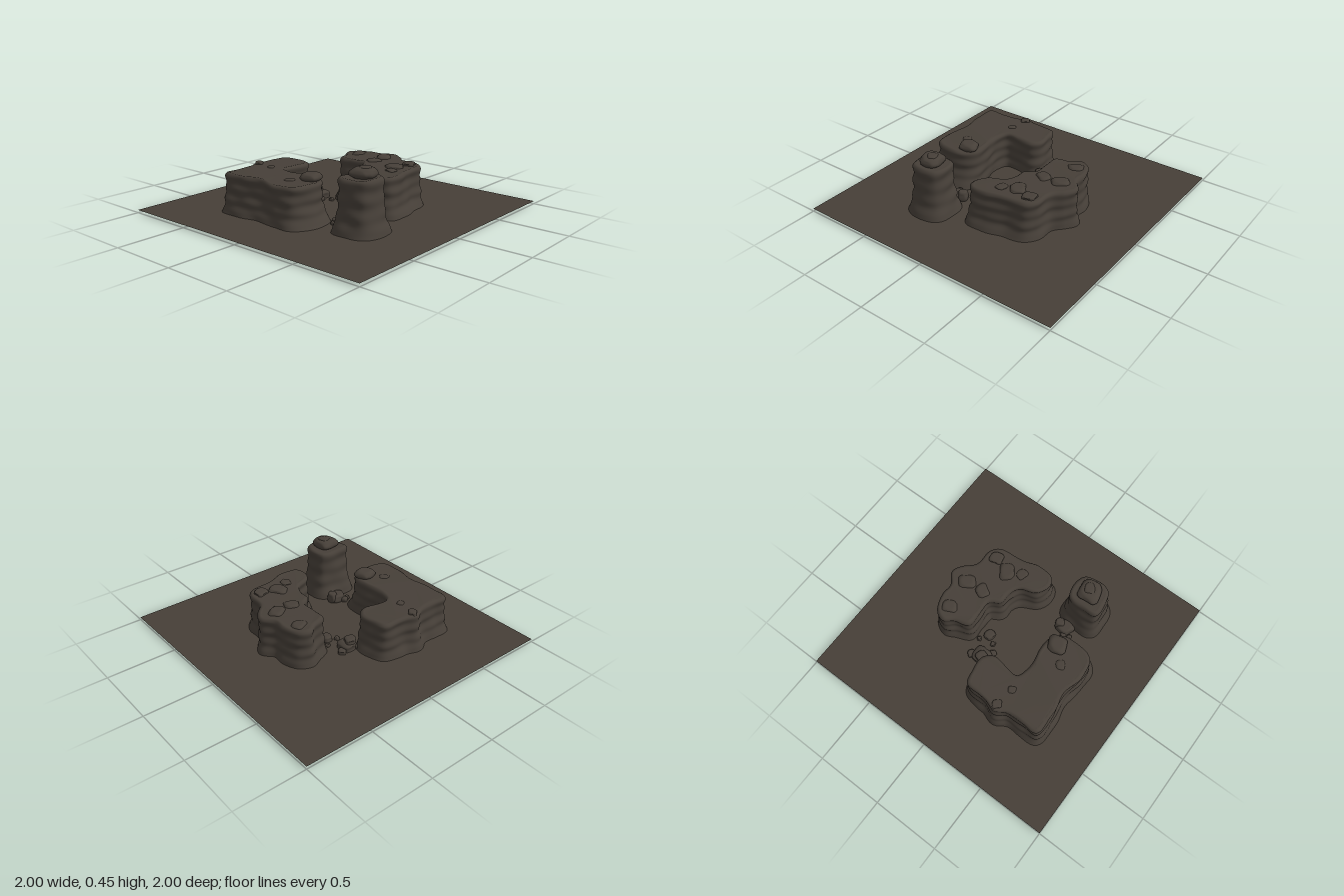
import * as THREE from 'three';
import { mergeVertices } from 'three/addons/utils/BufferGeometryUtils.js';

const GROUND = 0.02;

// Gentle lumps that depend only on position
const lump = (x, y, z) =>
  Math.sin(23 * x + 9 * z + 14 * y) * Math.sin(19 * z - 11 * x + 31 * y);

// Rock mass: a closed outline of [x, z, foot flare], lofted up a weathered cliff profile
function cliff(name, outline, height, material, lean = 0) {
  const curve = new THREE.CatmullRomCurve3(
    outline.map(([x, z, flare]) => new THREE.Vector3(x, flare, z)), true);
  const n = 180;
  const pts = curve.getSpacedPoints(n).slice(0, n);
  const normals = pts.map((_, i) => {
    const t = pts[(i + 1) % n].clone().sub(pts[(i + n - 1) % n]);
    return new THREE.Vector2(t.z, -t.x).normalize();
  });
  const positions = [];
  const index = [];

  // Walls, with a flared foot and strata ripples
  const rows = 22;
  const rings = [];
  for (let r = 0; r <= rows; r++) {
    const t = r / rows;
    rings.push({
      y: GROUND + t * (height - 0.016 - GROUND),
      flare: Math.pow(1 - t, 3.2) + lean * (1 - t),
      offset: 0.004 * Math.sin(t * 21) * Math.min(1, t * 4) - 0.003,
    });
  }
  // Rounded rim
  rings.push({ y: height - 0.006, flare: 0, offset: -0.008 });
  rings.push({ y: height, flare: 0, offset: -0.017 });
  rings.push({ y: height - 0.002, flare: 0, offset: -0.028 });

  rings.forEach(({ y, flare, offset }, j) => {
    pts.forEach((p, i) => {
      const d = p.y * flare + offset + 0.005 * lump(p.x, y, p.z);
      const rise = j > rows ? 0.005 * lump(p.x * 0.7, 0, p.z * 0.7) : 0;
      positions.push(p.x + normals[i].x * d, y + rise, p.z + normals[i].y * d);
      if (j === 0) return;
      const k = (i + 1) % n;
      const a = (j - 1) * n + i, b = (j - 1) * n + k;
      const c = j * n + k, e = j * n + i;
      index.push(a, e, b, b, e, c);
    });
  });

  // Plateau
  const base = (rings.length - 1) * n;
  const rim = pts.map((_, i) => new THREE.Vector2(
    positions[(base + i) * 3], -positions[(base + i) * 3 + 2]));
  for (const f of THREE.ShapeUtils.triangulateShape(rim, [])) {
    index.push(base + f[0], base + f[1], base + f[2]);
  }

  const geo = new THREE.BufferGeometry();
  geo.setAttribute('position', new THREE.Float32BufferAttribute(positions, 3));
  geo.setIndex(index);
  geo.computeVertexNormals();
  const mesh = new THREE.Mesh(geo, material);
  mesh.name = name;
  return mesh;
}

// Blocky worn stone filling the given half sizes
function stone(name, [x, y, z], [rx, ry, rz], material, turn = 0) {
  let geo = new THREE.IcosahedronGeometry(1, 6);
  geo.deleteAttribute('uv');
  geo.deleteAttribute('normal');
  geo = mergeVertices(geo, 1e-4);
  const p = geo.attributes.position;
  const v = new THREE.Vector3();
  const square = (c) => Math.sign(c) * Math.min(1, Math.pow(Math.abs(c), 0.8) * 1.12);
  for (let i = 0; i < p.count; i++) {
    v.fromBufferAttribute(p, i);
    const side = 1 + 0.08 * Math.sin(3 * v.x + 2 * v.z + x * 40) + 0.05 * Math.sin(6 * v.y + z * 30);
    p.setXYZ(i, square(v.x) * side * rx, square(v.y) * ry, square(v.z) * side * rz);
  }
  geo.computeVertexNormals();
  const mesh = new THREE.Mesh(geo, material);
  mesh.name = name;
  mesh.position.set(x, y, z);
  mesh.rotation.y = turn;
  return mesh;
}

export function createModel() {
  const group = new THREE.Group();
  group.name = 'mesaTerrain';

  const earth = new THREE.MeshStandardMaterial({ color: 0x463f37, side: THREE.DoubleSide });
  earth.name = 'earth';
  const rock = new THREE.MeshStandardMaterial({ color: 0x463f38 });
  rock.name = 'rock';

  // Flat ground sheet
  const ground = new THREE.Mesh(new THREE.PlaneGeometry(2, 2), earth);
  ground.name = 'ground';
  ground.rotation.x = -Math.PI / 2;
  ground.position.y = GROUND;
  group.add(ground);

  // L-shaped mesa
  group.add(cliff('cornerMesa', [
    [-0.61, -0.51, 0.04], [-0.5, -0.52, 0.04], [-0.37, -0.525, 0.04], [-0.29, -0.57, 0.04],
    [-0.2, -0.54, 0.04], [-0.03, -0.52, 0.03], [0, -0.42, 0.04], [0, -0.31, 0.035],
    [-0.05, -0.26, 0.015], [-0.17, -0.275, 0.008], [-0.27, -0.275, 0.008], [-0.3, -0.19, 0.008],
    [-0.28, -0.03, 0.008], [-0.285, 0.08, 0.025], [-0.34, 0.14, 0.06], [-0.47, 0.16, 0.07],
    [-0.6, 0.11, 0.05], [-0.625, -0.01, 0.03], [-0.595, -0.18, 0.035], [-0.62, -0.34, 0.035],
  ], 0.3, rock));

  // Winding mesa
  group.add(cliff('windingMesa', [
    [0.39, -0.265, 0.025], [0.47, -0.23, 0.02], [0.51, -0.11, 0.02], [0.51, -0.03, 0.02],
    [0.565, 0.06, 0.02], [0.53, 0.14, 0.02], [0.465, 0.22, 0.02], [0.445, 0.35, 0.025],
    [0.39, 0.415, 0.035], [0.25, 0.425, 0.05], [0.1, 0.465, 0.045], [-0.02, 0.46, 0.045],
    [-0.055, 0.4, 0.03], [-0.02, 0.305, 0.03], [0.1, 0.245, 0.035], [0.135, 0.17, 0.035],
    [0.145, 0.09, 0.04], [0.215, 0.03, 0.03], [0.21, -0.08, 0.02], [0.22, -0.18, 0.03],
    [0.32, -0.22, 0.035],
  ], 0.305, rock));

  // Lone tower with its cap stone
  group.add(cliff('tower', [
    [-0.45, 0.375, 0.04], [-0.34, 0.36, 0.04], [-0.225, 0.385, 0.035], [-0.205, 0.48, 0.035],
    [-0.235, 0.57, 0.045], [-0.33, 0.595, 0.045], [-0.43, 0.565, 0.045], [-0.46, 0.47, 0.035],
  ], 0.385, rock, 0.3));
  group.add(stone('towerCap', [-0.33, 0.41, 0.48], [0.07, 0.035, 0.076], rock, 0.2));
  group.add(stone('towerCapTop', [-0.32, 0.438, 0.485], [0.035, 0.015, 0.04], rock, 0.5));

  // Boulder on the corner mesa
  group.add(stone('mesaBoulder', [-0.36, 0.315, 0.06], [0.058, 0.03, 0.06], rock, 0.4));

  // Low swells on the plateaus: x, z, top height, radius
  for (const [x, z, top, r] of [
    [-0.3, -0.38, 0.306, 0.03], [-0.46, -0.04, 0.306, 0.035], [-0.28, -0.52, 0.312, 0.035],
    [0.25, 0.29, 0.32, 0.06], [0.37, 0.33, 0.322, 0.05], [0.3, 0.07, 0.318, 0.05],
    [0.43, 0.06, 0.322, 0.055], [0.41, -0.16, 0.316, 0.05], [0.15, 0.34, 0.314, 0.04],
  ]) {
    group.add(stone('plateauSwell', [x, top - 0.02, z], [r, 0.02, r * 0.85], rock, x * 9));
  }

  // Fallen stones at the cliff feet: x, z, bottom, top, radius
  for (const [x, z, bottom, top, r] of [
    [0.07, -0.25, 0, 0.075, 0.06], [0.055, -0.265, 0.06, 0.105, 0.04],
    [0.135, -0.28, 0.008, 0.05, 0.028], [0.12, -0.09, 0.008, 0.06, 0.035],
    [0.06, -0.13, 0.01, 0.04, 0.018], [0.165, -0.155, 0.01, 0.04, 0.016],
    [0.015, -0.185, 0.01, 0.045, 0.022], [0.02, -0.295, 0.01, 0.045, 0.02],
    [-0.285, 0.285, 0.006, 0.075, 0.055], [-0.24, 0.285, 0.01, 0.095, 0.034],
    [-0.31, 0.23, 0.01, 0.055, 0.022], [-0.35, 0.245, 0.01, 0.045, 0.016],
    [-0.325, 0.325, 0.01, 0.045, 0.018],
  ]) {
    const h = (top - bottom) / 2;
    group.add(stone('fallenStone', [x, bottom + h, z], [r, h, r * 0.95], rock, x * 17 + z * 5));
  }

  return group;
}
